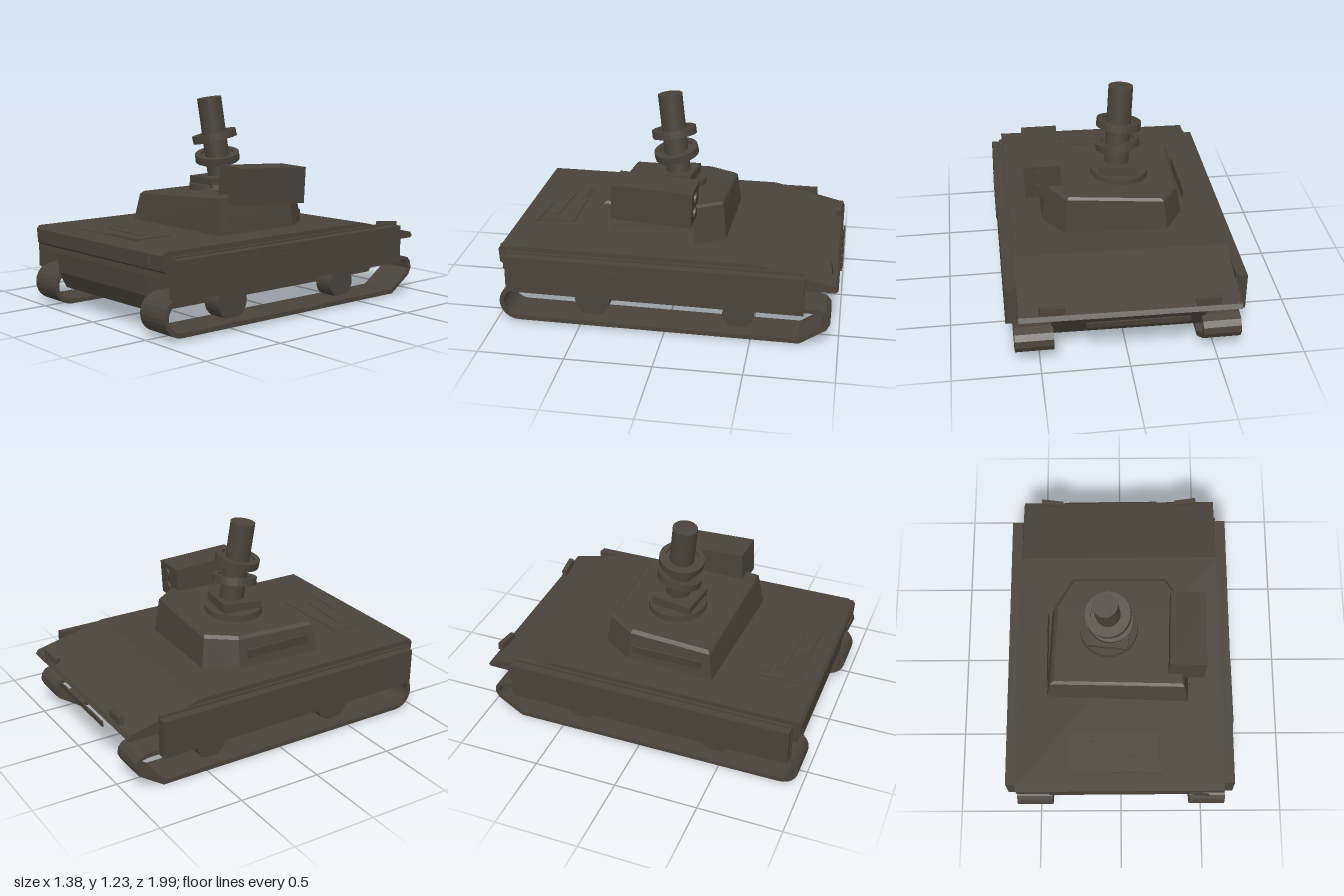
import * as THREE from 'three';
import { ConvexGeometry } from 'three/addons/geometries/ConvexGeometry.js';

const paint = new THREE.MeshStandardMaterial({ color: 0x4a433a });
paint.name = 'dark olive brown';

function add(parent, name, geo, pos = [0, 0, 0], rot = [0, 0, 0]) {
  const mesh = new THREE.Mesh(geo, paint);
  mesh.name = name;
  mesh.position.set(...pos);
  mesh.rotation.set(...rot);
  parent.add(mesh);
  return mesh;
}
const box = (w, h, d) => new THREE.BoxGeometry(w, h, d);
const path = (pts) => pts.map(([z, y]) => new THREE.Vector2(z, y));

// Side profile given clockwise as [z, y], stretched across x; a hole runs the other way round
function slab(pts, width, hole) {
  const shape = new THREE.Shape(path(pts));
  if (hole) shape.holes.push(new THREE.Path(path(hole).reverse()));
  const geo = new THREE.ExtrudeGeometry(shape, { depth: width, bevelEnabled: false });
  return geo.translate(0, 0, -width / 2).rotateY(-Math.PI / 2);
}

// Track loop outline, moved inwards by t
function trackLoop(t) {
  const pts = [];
  for (let i = 0; i <= 12; i++) {
    const a = Math.PI / 2 - (Math.PI * i) / 12;
    pts.push([0.865 + (0.112 - t) * Math.cos(a), 0.6 + (0.112 - t) * Math.sin(a)]);
  }
  pts.push([-0.78 + t * 0.3, 0.48 + t], [-0.93 + t, 0.58 + t * 0.5], [-0.95 + t, 0.62],
    [-0.945 + t, 0.66], [-0.92 + t * 0.7, 0.69 - t * 0.7], [-0.87, 0.705 - t]);
  return pts;
}

// Open band around the mast
function band(inner, outer, h) {
  const pts = [[inner, -h], [outer, -h], [outer, h], [inner, h], [inner, -h]];
  const geo = new THREE.LatheGeometry(path(pts), 28).toNonIndexed();
  geo.computeVertexNormals();
  return geo;
}

export function createModel() {
  const model = new THREE.Group();
  model.name = 'trackedVehicle';

  // Hull, leaning very slightly to one side
  const hull = new THREE.Group();
  hull.name = 'hull';
  hull.position.x = 0.005;
  hull.rotation.z = 0.013;
  model.add(hull);
  add(hull, 'upperHull', slab([[0.952, 0.805], [0.936, 0.95], [-0.53, 0.945], [-0.97, 0.84],
    [-0.985, 0.815], [-0.97, 0.805]].reverse(), 1.24));
  add(hull, 'frontBevel', slab([[0.93, 0.95], [0.955, 0.95], [0.97, 0.93], [0.965, 0.85], [0.93, 0.82]], 1.24));
  add(hull, 'lowerHull', slab([[0.948, 0.81], [0.94, 0.69], [0.89, 0.592], [-0.79, 0.585],
    [-0.875, 0.7], [-0.95, 0.81]], 0.87));
  for (const s of [-1, 1]) {
    add(hull, 'sideSkirt', slab([[0.92, 0.69], [0.92, 0.91], [-0.8, 0.905], [-0.8, 0.68]].reverse(), 0.052),
      [s * 0.66, 0, 0]);
    add(hull, 'skirtBacking', box(0.02, 0.23, 1.72), [s * 0.627, 0.805, 0.065]);
    add(hull, 'rearLamp', box(0.14, 0.045, 0.03), [s * 0.435, 0.865, -0.955], [0, s * 0.08, s * 0.1]);
  }
  add(hull, 'skirtPlate', box(0.009, 0.06, 0.41), [0.689, 0.84, 0.335], [-0.1, 0, 0]);
  add(hull, 'frontPlate', box(0.11, 0.04, 0.008), [0.475, 0.88, 0.978], [0, -0.15, 0.3]);
  add(hull, 'rearPlate', box(0.58, 0.035, 0.009), [-0.04, 0.78, -0.992], [-0.15, 0, 0]);
  add(hull, 'enginePanel', box(0.53, 0.008, 0.24), [-0.035, 0.951, 0.74]);
  for (const [x, z, w] of [[-0.21, 0.65, 0.12], [0.11, 0.84, 0.28], [-0.03, 0.74, 0.36]]) {
    add(hull, 'engineGrille', box(w, 0.009, 0.035), [x, 0.956, z], [0, -0.08, 0]);
  }

  // Running gear
  for (const s of [-1, 1]) {
    const track = new THREE.Group();
    track.name = s < 0 ? 'rightTrack' : 'leftTrack';
    track.position.set(s * 0.53, s > 0 ? 0.006 : -0.002, 0);
    model.add(track);
    add(track, 'trackBand', slab(trackLoop(0), 0.218, trackLoop(0.026)));
    for (const [z, y, r] of [[0.44, 0.604, 0.104], [-0.42, 0.588, 0.092]]) {
      const wheel = new THREE.CylinderGeometry(r, r, 0.12, 24).rotateZ(Math.PI / 2);
      add(track, 'roadWheel', wheel, [s * -0.04, y, z]);
    }
  }

  // Turret: tapered block with cut rear corners and a rising roof
  const plan = [[-0.45, 0.385], [0.41, 0.425], [0.42, -0.14], [0.3, -0.315], [-0.31, -0.335], [-0.425, -0.15]];
  const turretPoints = [];
  for (const [x, z] of plan) {
    turretPoints.push(new THREE.Vector3(x, 0.945 + x * 0.015, z));
    turretPoints.push(new THREE.Vector3(x * 0.93 - 0.003, 1.135 + x * 0.07 - z * 0.01, z * 0.93));
    turretPoints.push(new THREE.Vector3(x * 0.89, 1.15 + x * 0.065 - z * 0.01, z * 0.89));
  }
  add(model, 'turret', new ConvexGeometry(turretPoints));
  add(model, 'leftTurretPlate', box(0.009, 0.03, 0.42), [0.412, 1.045, 0.13], [0.04, 0, 0.12]);
  add(model, 'rightTurretPlate', box(0.009, 0.055, 0.42), [-0.446, 1.03, 0.1], [0, 0, 0.1]);

  // Launcher box beside the turret roof
  const launcher = new THREE.Group();
  launcher.name = 'launcher';
  launcher.position.set(0.4, 1.217, 0.087);
  launcher.rotation.set(-0.05, -0.03, -0.015);
  model.add(launcher);
  add(launcher, 'launcherBox', box(0.215, 0.21, 0.465));
  add(launcher, 'launcherMount', box(0.1, 0.06, 0.22), [-0.06, -0.09, 0]);
  for (const y of [-0.045, 0.045]) {
    const cap = new THREE.CylinderGeometry(0.035, 0.035, 0.02, 20).rotateX(Math.PI / 2);
    add(launcher, 'tubeCap', cap, [0.02, y, -0.235]);
  }

  // Leaning sensor mast
  add(model, 'mastDisc', new THREE.CylinderGeometry(0.172, 0.175, 0.04, 32), [-0.068, 1.158, 0.03], [0, 0, 0.04]);
  add(model, 'mastBlock', box(0.235, 0.06, 0.245), [-0.06, 1.195, 0.04], [0.05, -0.12, 0.02]);
  const mast = new THREE.Group();
  mast.name = 'mast';
  mast.position.set(-0.05, 1.18, 0.02);
  mast.rotation.set(0.12, 0, 0.07);
  model.add(mast);
  add(mast, 'mastTube', new THREE.CylinderGeometry(0.073, 0.073, 0.52, 28), [0, 0.26, 0]);
  for (const [name, y, rot] of [['upperRing', 0.285, [0.05, 0, 0.07]], ['lowerRing', 0.16, [0.07, 0, -0.19]]]) {
    add(mast, name, band(0.1, 0.134, 0.023), [0, y, 0], rot);
    add(mast, 'ringCollar', new THREE.CylinderGeometry(0.101, 0.101, 0.02, 24), [0, y, 0], rot);
  }

  return model;
}
